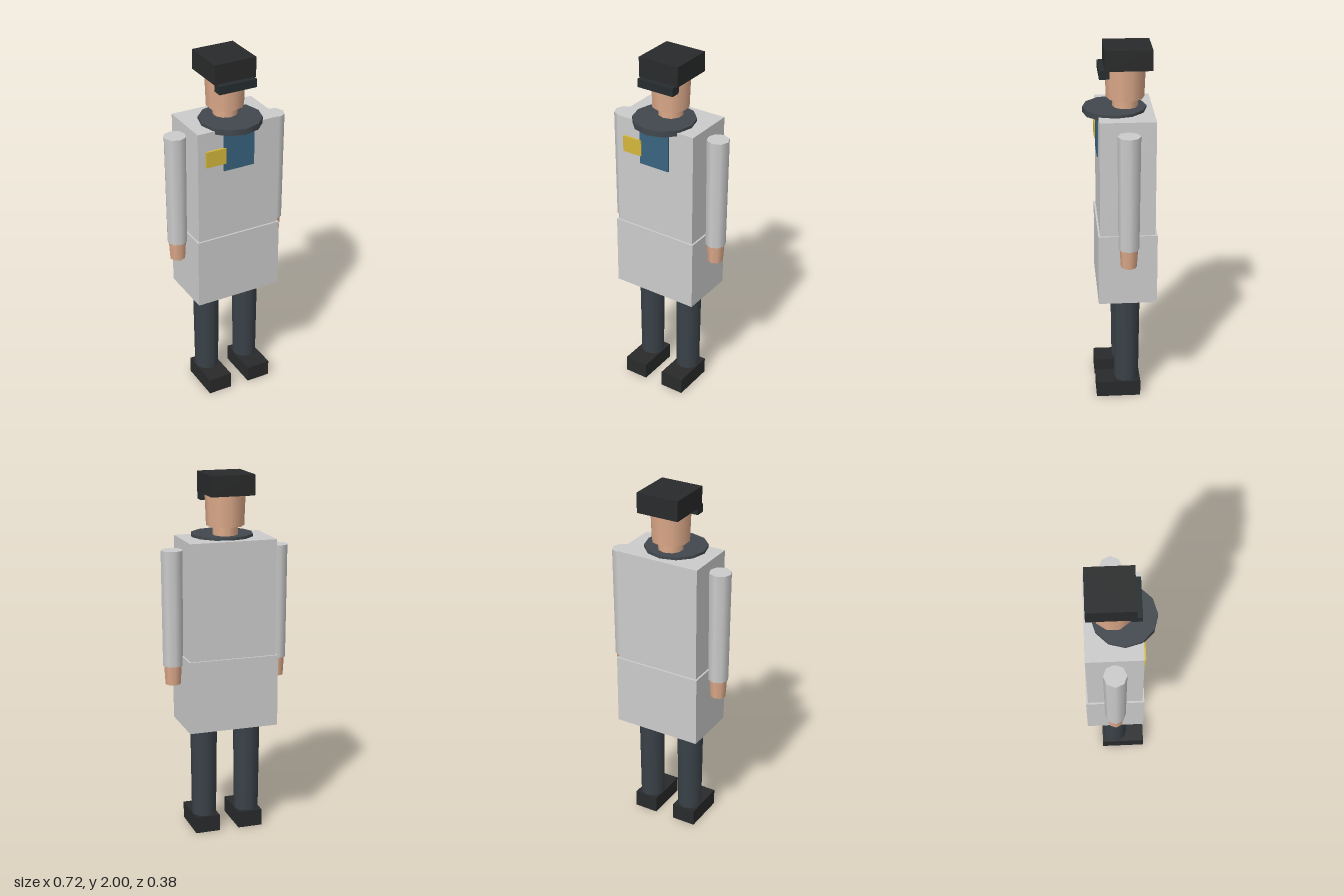
import * as THREE from 'three';

const GREY = 0xcccccc, SKIN = 0xdca989, TROUSERS = 0x3a4248, COLLAR = 0x41484d;
const BLACK = 0x292a2b, VISOR = 0x262d2f, BLUE = 0x38647f, GOLD = 0xd4b83c;
const AXIS_Z = -0.036; // depth of the limbs, neck and head

export function createModel() {
  const model = new THREE.Group();

  function add(name, geometry, color, x, y, z) {
    const mesh = new THREE.Mesh(geometry, new THREE.MeshStandardMaterial({ color }));
    mesh.name = name;
    mesh.position.set(x, y, z);
    model.add(mesh);
  }

  // Box given by its extents on each axis
  function box(name, color, [x0, x1], [y0, y1], [z0, z1]) {
    add(name, new THREE.BoxGeometry(x1 - x0, y1 - y0, z1 - z0), color,
      (x0 + x1) / 2, (y0 + y1) / 2, (z0 + z1) / 2);
  }

  // Upright tapered cylinder from y0 to y1
  function tube(name, color, x, z, [y0, y1], rTop, rBottom, sides) {
    add(name, new THREE.CylinderGeometry(rTop, rBottom, y1 - y0, sides), color, x, (y0 + y1) / 2, z);
  }

  // Coat
  box('coatBody', GREY, [-0.24, 0.24], [1.02, 1.655], [-0.183, 0.113]);
  box('coatSkirt', GREY, [-0.25, 0.25], [0.622, 1.02], [-0.194, 0.123]);
  box('shirtPanel', BLUE, [-0.09, 0.09], [1.415, 1.65], [0.1, 0.12]);
  box('chestBadge', GOLD, [-0.195, -0.08], [1.46, 1.55], [0.105, 0.125]);
  tube('collar', COLLAR, 0, 0.021, [1.637, 1.67], 0.17, 0.17, 12);

  // Limbs
  for (const [side, s] of [['left', 1], ['right', -1]]) {
    tube(side + 'Arm', GREY, s * 0.297, AXIS_Z, [0.972, 1.602], 0.061, 0.056, 8);
    tube(side + 'Hand', SKIN, s * 0.297, AXIS_Z, [0.867, 0.98], 0.05, 0.043, 8);
    tube(side + 'Leg', TROUSERS, s * 0.125, AXIS_Z, [0.08, 0.63], 0.074, 0.068, 10);
    const x = s * 0.125;
    box(side + 'Shoe', BLACK, [x - 0.069, x + 0.069], [0, 0.093], [-0.112, 0.135]);
  }

  // Head and cap
  tube('neck', SKIN, 0, AXIS_Z, [1.645, 1.73], 0.068, 0.068, 10);
  tube('head', SKIN, 0, AXIS_Z, [1.72, 1.9], 0.109, 0.102, 10);
  box('cap', BLACK, [-0.12, 0.12], [1.89, 2], [-0.172, 0.078]);
  box('capVisor', VISOR, [-0.109, 0.109], [1.846, 1.892], [0.052, 0.107]);

  return model;
}
